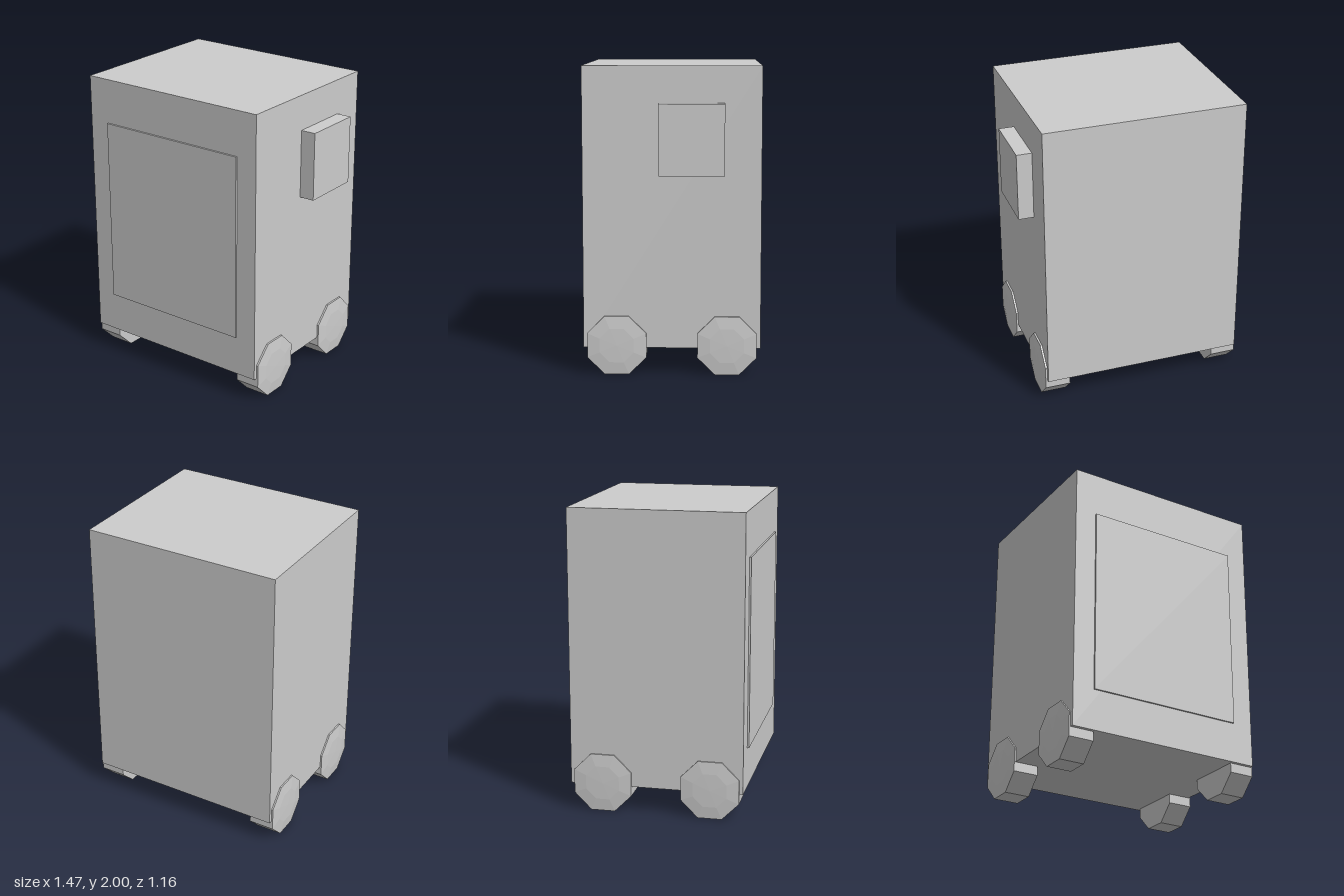
import * as THREE from 'three';

export function createModel() {
  const group = new THREE.Group();
  group.name = 'wheeledCabinet';
  const grey = new THREE.MeshStandardMaterial({ color: 0xcccccc });
  grey.name = 'light grey';
  grey.flatShading = true;

  // Box from its minimum and maximum corners
  function addBox(name, min, max) {
    const size = max.map((v, i) => v - min[i]);
    const mesh = new THREE.Mesh(new THREE.BoxGeometry(...size), grey);
    mesh.position.set(...min.map((v, i) => (v + max[i]) / 2));
    mesh.name = name;
    group.add(mesh);
  }

  addBox('cabinetBody', [-0.717, 0.175, -0.58], [0.635, 2, 0.568]);
  addBox('frontDoorPanel', [-0.57, 0.445, 0.55], [0.49, 1.7, 0.58]);
  addBox('sideControlBox', [0.62, 1.308, -0.343], [0.737, 1.765, 0.077]);

  // Eight-sided wheel with a slightly domed outer face; its axis starts along +y
  const radius = 0.192 / Math.cos(Math.PI / 8);
  const profile = [[0, 0], [radius, 0], [radius, 0.171], [0.12, 0.179], [0, 0.181]];
  const wheelGeometry = new THREE.LatheGeometry(
    profile.map(([r, y]) => new THREE.Vector2(r, y)), 8, Math.PI / 8);

  for (const [sideName, side, inner] of [['left', 1, 0.476], ['right', -1, -0.556]]) {
    for (const [endName, z] of [['front', 0.352], ['back', -0.363]]) {
      const wheel = new THREE.Mesh(wheelGeometry, grey);
      wheel.name = `${endName}${sideName === 'left' ? 'Left' : 'Right'}Wheel`;
      wheel.rotation.z = -side * Math.PI / 2;
      wheel.position.set(inner, 0.192, z);
      group.add(wheel);
    }
  }
  return group;
}
